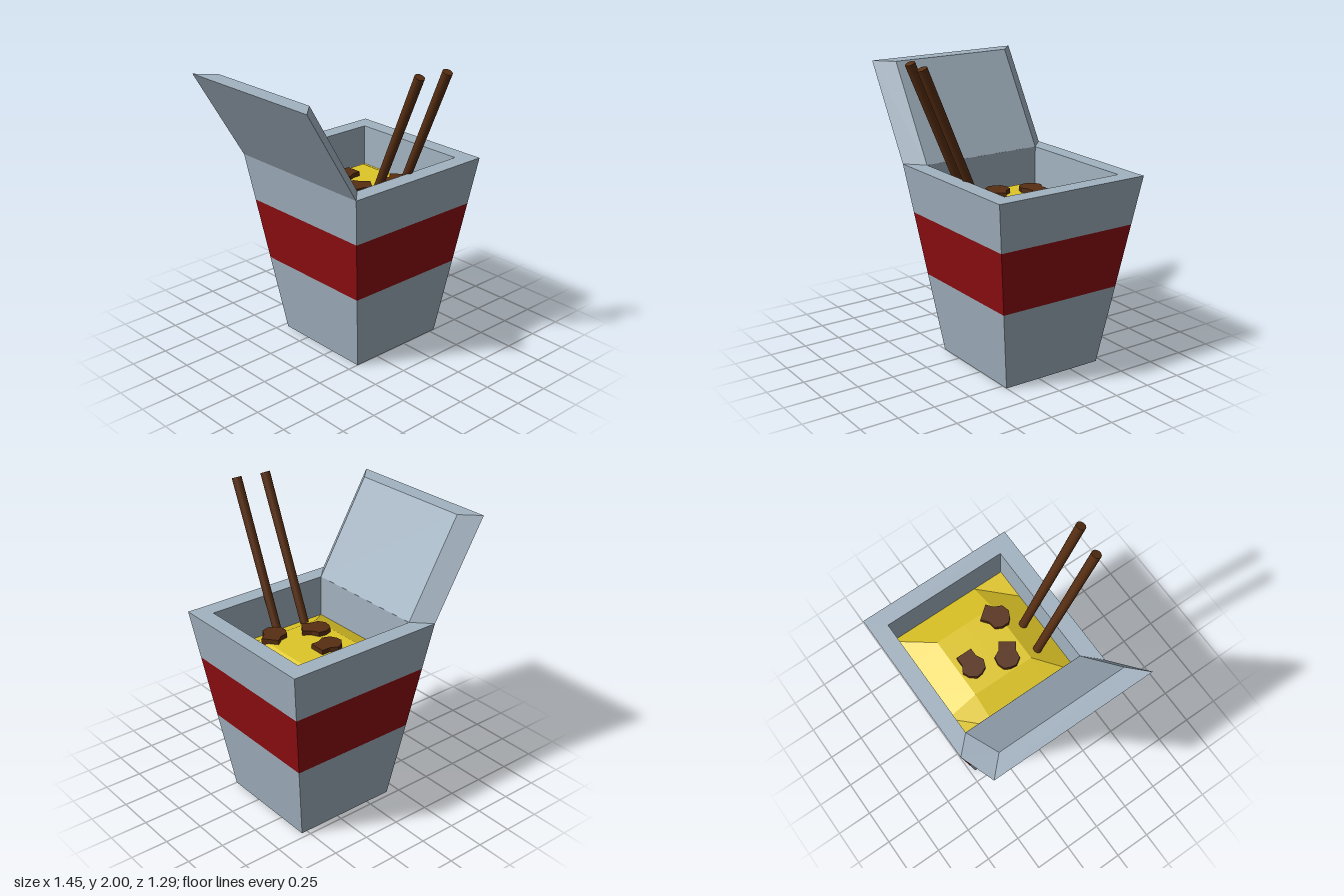
import * as THREE from 'three';

const CX = 0.183, CZ = -0.107; // centre line of the carton

const mat = (name, color) => Object.assign(new THREE.MeshStandardMaterial({ color }), { name });

// Square ring at height y, counter-clockwise seen from above
function ring(y, h) {
  return [[1, 1], [1, -1], [-1, -1], [-1, 1]].map(([sx, sz]) => [CX + sx * h, y, CZ + sz * h]);
}

// Flat-faced geometry from a list of quads
function quads(list) {
  const pos = [];
  for (const [a, b, c, d] of list) pos.push(...a, ...b, ...c, ...a, ...c, ...d);
  const g = new THREE.BufferGeometry();
  g.setAttribute('position', new THREE.Float32BufferAttribute(pos, 3));
  g.computeVertexNormals();
  return g;
}

// Quads joining consecutive rings
function loft(...rings) {
  const out = [];
  for (let r = 0; r < rings.length - 1; r++) {
    const a = rings[r], b = rings[r + 1];
    for (let i = 0; i < 4; i++) {
      const j = (i + 1) % 4;
      out.push([a[i], a[j], b[j], b[i]]);
    }
  }
  return out;
}

export function createModel() {
  const model = new THREE.Group();
  model.name = 'noodleBox';
  const card = mat('greyCard', 0xa3b3c1);
  const red = mat('red', 0x900e10);
  const blue = mat('blue', 0x2b3ba6);
  const yellow = mat('noodleYellow', 0xdfc627);
  const brown = mat('brown', 0x572e12);

  const add = (name, geometry, material) => {
    const mesh = new THREE.Mesh(geometry, material);
    mesh.name = name;
    model.add(mesh);
    return mesh;
  };

  // Tapered carton: outer wall, red band, rim and inner wall
  const half = (y) => 0.357 + (0.1855 * y) / 1.27;
  const outer = (y) => ring(y, half(y));
  add('lowerWall', quads(loft(outer(0), outer(0.53))), card);
  add('band', quads(loft(outer(0.53), outer(0.95))), red);
  add('upperWallAndRim', quads(loft(outer(0.95), outer(1.27), ring(1.27, 0.43), ring(0.96, 0.43))), card);

  // Two-colour underside
  const under = (x0, x1) => {
    const z0 = CZ - half(0), z1 = CZ + half(0);
    return quads([[[x0, 0, z1], [x0, 0, z0], [x1, 0, z0], [x1, 0, z1]]]);
  };
  add('baseBlue', under(0.07, CX + half(0)), blue);
  add('baseRed', under(CX - half(0), 0.07), red);

  // Open lid: slanted slab with bevelled edges
  const lidRing = (xLow, xHigh, h) => [
    [xLow, 1.27, CZ + h], [xLow, 1.27, CZ - h], [xHigh, 1.885, CZ - h], [xHigh, 1.885, CZ + h],
  ];
  const lidOut = lidRing(-0.36, -0.728, 0.5425), lidIn = lidRing(-0.248, -0.614, 0.43);
  add('lid', quads([...loft(lidOut, lidIn), lidIn, [...lidOut].reverse()]), card);

  // Noodles: faceted mound, low at the walls
  const noodles = new THREE.PlaneGeometry(0.86, 0.86, 4, 4).rotateX(-Math.PI / 2);
  const p = noodles.attributes.position;
  for (let i = 0; i < p.count; i++) {
    const edge = Math.max(Math.abs(p.getX(i)), Math.abs(p.getZ(i))) > 0.4;
    p.setY(i, edge ? 0.99 : 1.1);
  }
  const mound = noodles.toNonIndexed();
  mound.computeVertexNormals();
  add('noodles', mound, yellow).position.set(CX, 0, CZ);

  // Meat pieces: rounded body with a square end
  const outline = [[0.105, -0.055], [0.105, 0.055], [0.05, 0.055], [0, 0.08], [-0.05, 0.06],
    [-0.07, 0.02], [-0.075, -0.02], [-0.045, -0.06], [0, -0.08], [0.045, -0.055]];
  const shape = new THREE.Shape(outline.map(([x, y]) => new THREE.Vector2(x, y)));
  const meat = new THREE.ExtrudeGeometry(shape, { depth: 0.05, bevelEnabled: false }).rotateX(Math.PI / 2);
  [[0.125, -0.23, 0], [0.05, -0.02, 0.61], [0.31, 0.095, -0.66]].forEach(([x, z, turn], i) => {
    const piece = add(`meatPiece${i + 1}`, meat, brown);
    piece.position.set(x, 1.13, z);
    piece.rotation.y = -turn;
  });

  // Chopsticks leaning out over the front
  [[0.003, 0.155, 0.58], [0.2, 0.19, 0.615]].forEach(([x, zLow, zTop], i) => {
    const low = new THREE.Vector3(x, 1.0, zLow), top = new THREE.Vector3(x, 1.985, zTop);
    const stick = add(`chopstick${i + 1}`,
      new THREE.CylinderGeometry(0.032, 0.028, low.distanceTo(top), 16), brown);
    stick.position.lerpVectors(low, top, 0.5);
    stick.quaternion.setFromUnitVectors(new THREE.Vector3(0, 1, 0), top.clone().sub(low).normalize());
  });

  return model;
}
